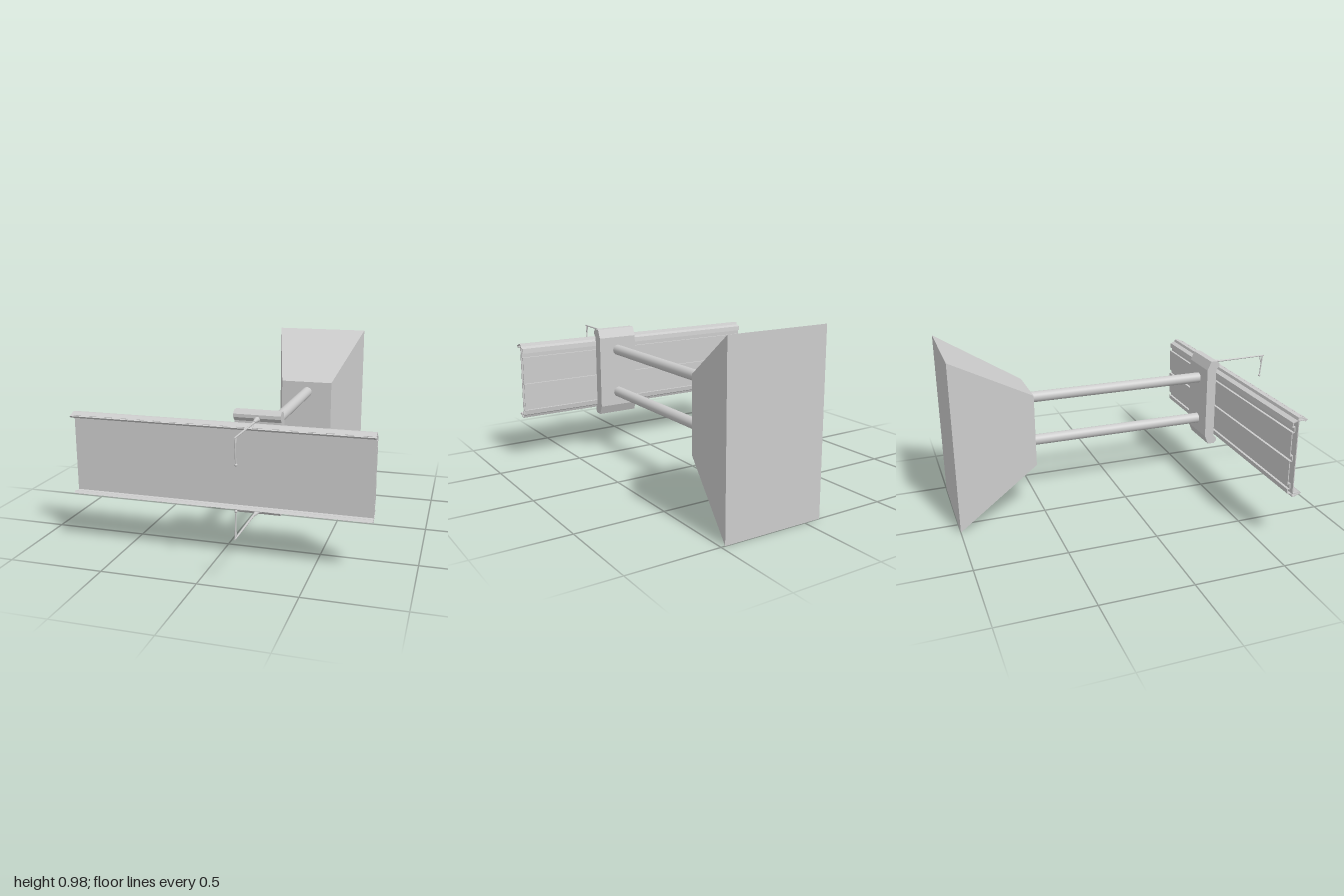
import * as THREE from 'three';

const grey = new THREE.MeshStandardMaterial({ color: 0xcccccc, side: THREE.DoubleSide });
const AXIS_X = 0.194; // the support line sits to the left of centre
const MID_Y = 0.49; // mirror height of the panel and lamps

function add(parent, name, geometry, x = 0, y = 0, z = 0) {
  const mesh = new THREE.Mesh(geometry, grey);
  mesh.name = name;
  mesh.position.set(x, y, z);
  parent.add(mesh);
  return mesh;
}

// Extrude a closed [z, y] section along x
function extrudeX(points, x0, x1) {
  const shape = new THREE.Shape(points.map(([z, y]) => new THREE.Vector2(z, y)));
  const geometry = new THREE.ExtrudeGeometry(shape, { depth: x1 - x0, bevelEnabled: false });
  return geometry.rotateY(-Math.PI / 2).translate(x1, 0, 0);
}

// Thicken an open [z, y] line into a closed sheet section with mitred corners
function sheet(line, t) {
  const offset = (s) => line.map((p, i) => {
    const a = line[Math.max(i - 1, 0)], b = line[Math.min(i + 1, line.length - 1)];
    const n = (u, v) => new THREE.Vector2(u[1] - v[1], v[0] - u[0]).normalize();
    const n1 = i ? n(a, p) : n(p, b);
    const n2 = i < line.length - 1 ? n(p, b) : n1;
    const m = n1.clone().add(n2).normalize();
    const d = (s * t) / 2 / Math.max(m.dot(n1), 0.5);
    return [p[0] + m.x * d, p[1] + m.y * d];
  });
  return [...offset(1), ...offset(-1).reverse()];
}

const mirrorY = (points) => points.map(([z, y]) => [z, 2 * MID_Y - y]);

// Round bar between two points, with separate end radii
function bar(parent, name, a, b, ra, rb, sides = 12) {
  const from = new THREE.Vector3(...a), dir = new THREE.Vector3(...b).sub(from);
  const mesh = add(parent, name, new THREE.CylinderGeometry(rb, ra, dir.length(), sides));
  mesh.position.copy(from).addScaledVector(dir, 0.5);
  mesh.quaternion.setFromUnitVectors(new THREE.Vector3(0, 1, 0), dir.normalize());
}

// Block tapering from a large back rectangle to a small front one
function taperedBlock(back, front) {
  const geometry = new THREE.BoxGeometry(1, 1, 1);
  const pos = geometry.attributes.position;
  for (let i = 0; i < pos.count; i++) {
    const r = pos.getZ(i) > 0 ? front : back;
    pos.setXYZ(i, pos.getX(i) > 0 ? r.x1 : r.x0, pos.getY(i) > 0 ? r.y1 : r.y0, r.z);
  }
  geometry.computeVertexNormals();
  return geometry;
}

export function createModel() {
  const model = new THREE.Group();
  model.name = 'bracketedPanel';

  // Tapered wall block
  add(model, 'wallBlock', taperedBlock(
    { x0: -0.095, x1: 0.477, y0: 0, y1: 0.975, z: -1 },
    { x0: 0.033, x1: 0.349, y0: 0.28, y1: 0.7, z: -0.527 }));

  // Two support tubes
  for (const y of [0.369, 0.636]) {
    bar(model, 'supportTube', [AXIS_X, y, -0.54], [AXIS_X, y, 0.56], 0.031, 0.031, 32);
  }

  // Mounting plate with chamfered hooked ends
  const hook = [[0.552, 0.716], [0.575, 0.768], [0.615, 0.768], [0.629, 0.752], [0.629, 0.735], [0.61, 0.715]];
  const lowerHook = hook.map(([z, y]) => [z, 1.003 - y]).reverse();
  add(model, 'mountingPlate', extrudeX([...hook, ...lowerHook], 0.072, 0.314));

  // Panel back: folded rim, sloped shoulder and three recessed channels
  const panel = new THREE.Group();
  panel.name = 'panel';
  model.add(panel);
  const rim = [[0.69, 0.69], [0.699, 0.698], [0.663, 0.712], [0.65, 0.712], [0.645, 0.698], [0.62, 0.688]];
  const channel = (y) => [[0.617, y + 0.015], [0.631, y + 0.015], [0.631, y - 0.015], [0.617, y - 0.015]];
  const backLine = [
    ...rim, ...channel(0.65), ...channel(MID_Y), ...channel(0.33), ...mirrorY(rim).reverse(),
  ];
  add(panel, 'panelBack', extrudeX(sheet(backLine, 0.005), -0.789, 0.786));

  // Flat front sheet
  add(panel, 'frontSheet', new THREE.BoxGeometry(1.573, 0.42, 0.005), -0.0015, MID_Y, 0.652);

  for (const s of [1, -1]) {
    const at = (h) => MID_Y + s * h;

    // Inner lip behind the rim and its row of short clips
    const lip = [[0.652, 0.694], [0.668, 0.698], [0.69, 0.691]];
    add(panel, 'innerLip', extrudeX(sheet(s > 0 ? lip : mirrorY(lip), 0.004), -0.789, 0.786));
    for (let i = 0; i < 18; i++) {
      add(panel, 'rimClip', new THREE.BoxGeometry(0.04, 0.005, 0.006), -0.749 + i * 0.088, at(0.212), 0.694);
    }

    // Arm with conical root, tapered rod and hanging tip
    const arm = new THREE.Group();
    arm.name = s > 0 ? 'upperArm' : 'lowerArm';
    model.add(arm);
    bar(arm, 'armRoot', [AXIS_X, at(0.24), 0.622], [AXIS_X, at(0.24), 0.682], 0.015, 0.006, 16);
    bar(arm, 'armRod', [AXIS_X, at(0.237), 0.67], [AXIS_X, at(0.241), 1], 0.006, 0.004);
    bar(arm, 'armDrop', [AXIS_X, at(0.24), 0.992], [AXIS_X, at(0.115), 0.979], 0.004, 0.0035);
    bar(arm, 'armBrace', [AXIS_X, at(0.238), 0.972], [AXIS_X, at(0.19), 0.986], 0.003, 0.003);
    add(arm, 'armTip', new THREE.SphereGeometry(0.0075, 12, 8), AXIS_X, at(0.112), 0.978);
    // Small clamp screw below the root
    bar(arm, 'clampScrew', [AXIS_X, at(0.222), 0.66], [AXIS_X, at(0.21), 0.7], 0.004, 0.004);
  }

  return model;
}
